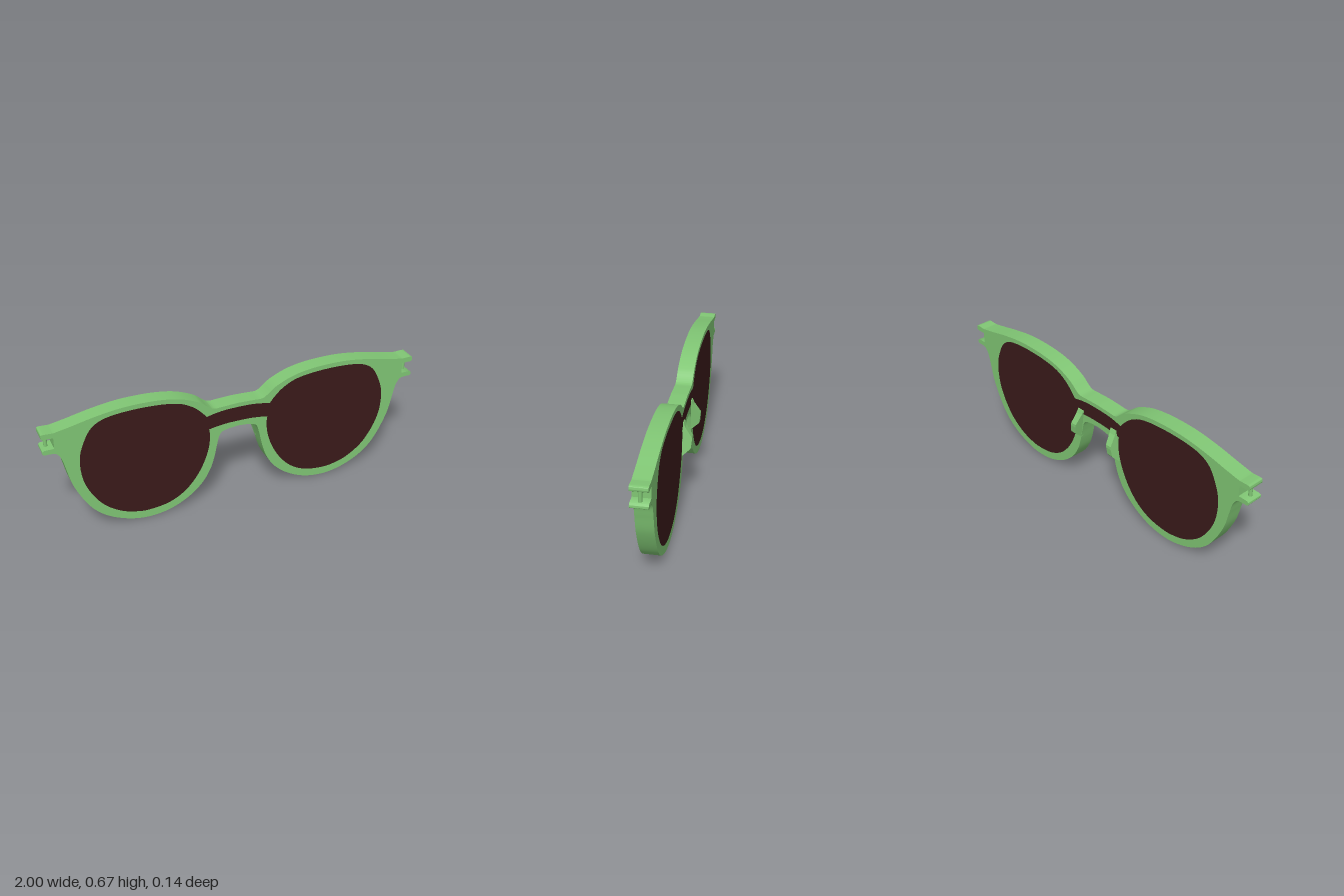
import * as THREE from 'three';
import { toCreasedNormals } from 'three/addons/utils/BufferGeometryUtils.js';

const DEPTH = 0.086;
const frameMat = new THREE.MeshStandardMaterial({ color: 0x80c674 });
const lensMat = new THREE.MeshStandardMaterial({ color: 0x3a1a1a });

// Smooth curve through [x, y] pairs, sampled to points
function smooth(pairs) {
  const pts = pairs.map(([x, y]) => new THREE.Vector2(x, y));
  if (pts.length < 3) return pts;
  return new THREE.SplineCurve(pts).getPoints(pts.length * 8);
}

// Closed outline from right-half runs (top centre to bottom centre), mirrored in x
function mirroredOutline(runs) {
  const half = runs.flatMap(smooth).filter((p, i, a) => i === 0 || p.distanceTo(a[i - 1]) > 1e-4);
  const other = half.slice(1, -1).reverse().map(p => new THREE.Vector2(-p.x, p.y));
  return half.concat(other);
}

function slab(shape, depth = DEPTH) {
  const geo = new THREE.ExtrudeGeometry(shape, { depth, bevelEnabled: false });
  return toCreasedNormals(geo, 0.6);
}

function add(parent, name, geo, mat) {
  const mesh = new THREE.Mesh(geo, mat);
  mesh.name = name;
  parent.add(mesh);
  return mesh;
}

export function createModel() {
  const model = new THREE.Group();
  model.name = 'sunglassesFront';
  const body = new THREE.Group();
  body.name = 'tiltedBody';
  body.rotation.x = -0.01;
  model.add(body);

  // Outer frame: brow, slotted hinge lugs, rims and bridge
  const outer = mirroredOutline([
    [[0, 0.56], [0.08, 0.557], [0.13, 0.556], [0.16, 0.572], [0.21, 0.61], [0.3, 0.648], [0.4, 0.667],
      [0.52, 0.673], [0.63, 0.668], [0.75, 0.65], [0.86, 0.627], [0.94, 0.612]],
    [[0.94, 0.612], [0.99, 0.614], [1.0, 0.608], [1.0, 0.592], [0.99, 0.586]],
    [[0.942, 0.586], [0.942, 0.527]],
    [[0.99, 0.527], [1.0, 0.52], [1.0, 0.508], [0.99, 0.502]],
    [[0.965, 0.502], [0.935, 0.495], [0.912, 0.46], [0.897, 0.4], [0.872, 0.3], [0.82, 0.19], [0.765, 0.115],
      [0.69, 0.058], [0.59, 0.017], [0.49, 0.003], [0.38, 0.019], [0.28, 0.066], [0.205, 0.13],
      [0.16, 0.2], [0.135, 0.27], [0.118, 0.345], [0.106, 0.39], [0.092, 0.411], [0.06, 0.422], [0, 0.428]],
  ]);

  // Tinted area: both lenses joined by a strip across the bridge
  const tint = mirroredOutline([
    [[0, 0.537], [0.07, 0.535], [0.12, 0.529], [0.172, 0.518]],
    [[0.172, 0.518], [0.2, 0.552], [0.245, 0.592], [0.31, 0.625], [0.4, 0.642], [0.52, 0.648], [0.63, 0.643],
      [0.71, 0.626], [0.765, 0.588], [0.803, 0.52], [0.825, 0.45], [0.827, 0.37], [0.812, 0.29],
      [0.775, 0.21], [0.72, 0.137], [0.64, 0.08], [0.56, 0.053], [0.49, 0.046], [0.39, 0.06],
      [0.305, 0.103], [0.24, 0.17], [0.193, 0.25], [0.165, 0.33], [0.156, 0.4], [0.16, 0.443]],
    [[0.16, 0.443], [0.12, 0.45], [0.06, 0.456], [0, 0.457]],
  ]);

  const z0 = -0.0165;
  const frameShape = new THREE.Shape(outer);
  frameShape.holes.push(new THREE.Path(tint));
  add(body, 'frame', slab(frameShape), frameMat).position.z = z0;
  add(body, 'lenses', slab(new THREE.Shape(tint)), lensMat).position.z = z0;

  // Nose pad profile in the (depth behind frame, height) plane
  const padProfile = [[-0.012, 0.475], [0.004, 0.475], [0.013, 0.452], [0.047, 0.4], [0.048, 0.385],
    [0.044, 0.345], [0.039, 0.337], [0.004, 0.303], [-0.012, 0.3]];
  const padShape = new THREE.Shape(padProfile.map(([d, y]) => new THREE.Vector2(d, y)));

  for (const side of [1, -1]) {
    const tag = side > 0 ? 'left' : 'right';

    // Hinge pin across the slot
    const pin = add(body, tag + 'HingePin', new THREE.CylinderGeometry(0.0095, 0.0095, 0.07, 20), frameMat);
    pin.position.set(side * 0.974, 0.556, 0.026);

    // Nose pad, leaning outward toward the bottom and narrowing to the back
    const geo = new THREE.ExtrudeGeometry(padShape, { depth: 0.04, bevelEnabled: false });
    geo.rotateY(Math.PI / 2);
    const p = geo.attributes.position;
    for (let i = 0; i < p.count; i++) {
      const d = -p.getZ(i), y = p.getY(i);
      const taper = 1 - 3 * Math.max(d, 0);
      const x = (p.getX(i) - 0.02) * taper + 0.134 + (0.39 - y) * 0.14;
      p.setXYZ(i, x, y, z0 - d);
    }
    if (side < 0) geo.rotateY(Math.PI).scale(1, 1, 1);
    if (side < 0) {
      // Turned half round, so mirror depth back and flip the winding
      for (let i = 0; i < p.count; i++) p.setZ(i, -p.getZ(i));
      for (let i = 0; i < p.count; i += 3) {
        const a = new THREE.Vector3().fromBufferAttribute(p, i + 1);
        const b = new THREE.Vector3().fromBufferAttribute(p, i + 2);
        p.setXYZ(i + 1, b.x, b.y, b.z);
        p.setXYZ(i + 2, a.x, a.y, a.z);
      }
    }
    geo.computeVertexNormals();
    add(body, tag + 'NosePad', geo, frameMat);
  }
  return model;
}
